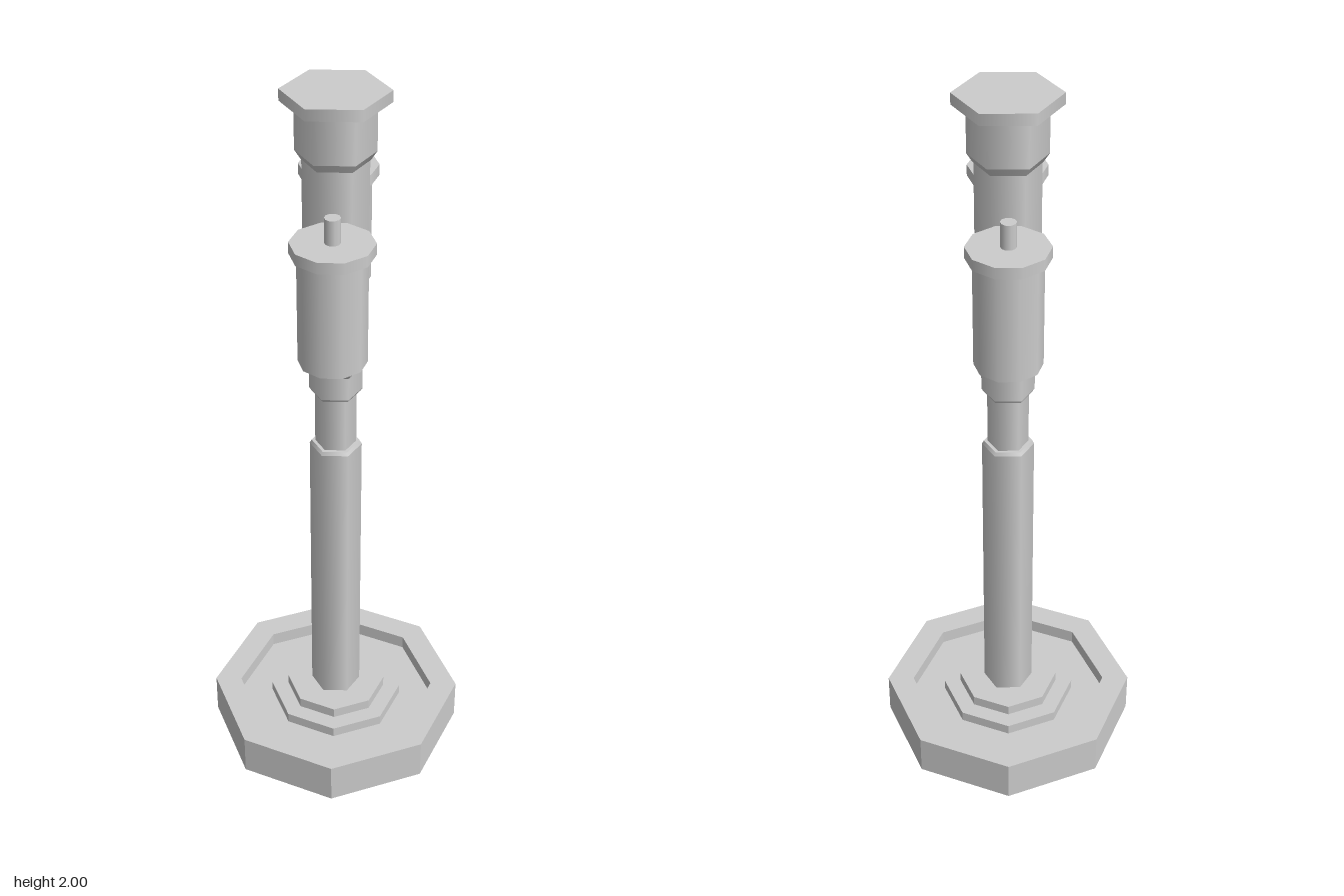
import * as THREE from 'three';

const smooth = new THREE.MeshStandardMaterial({ color: 0xcccccc });
const faceted = new THREE.MeshStandardMaterial({ color: 0xcccccc, flatShading: true, side: THREE.DoubleSide });

// Upright prism from y0 to y1 with corners on the x axis
function prism(name, sides, rBottom, rTop, y0, y1) {
  const geo = new THREE.CylinderGeometry(rTop, rBottom, y1 - y0, sides, 1, false, Math.PI / 2);
  geo.translate(0, (y0 + y1) / 2, 0);
  const mesh = new THREE.Mesh(geo, smooth);
  mesh.name = name;
  return mesh;
}

// Stepped octagonal shell, open underneath
function createBase() {
  const profile = [
    [0.358, 0], [0.358, 0.12], [0.283, 0.12], [0.283, 0.08], [0.19, 0.08],
    [0.19, 0.11], [0.142, 0.11], [0.142, 0.14], [0.05, 0.14],
  ].map(([r, y]) => new THREE.Vector2(r, y));
  const base = new THREE.Mesh(new THREE.LatheGeometry(profile, 8), faceted);
  base.name = 'base';
  return base;
}

// Hexagonal column, bottom to top
function createColumn() {
  const column = new THREE.Group();
  column.name = 'column';
  const parts = [
    ['lowerPole', 0.07, 0.07, 0, 0.99],
    ['lowerPoleBevel', 0.07, 0.065, 0.99, 1],
    ['innerPole', 0.055, 0.055, 0.98, 1.18],
    ['collarBevel', 0.065, 0.07, 1.16, 1.168],
    ['collar', 0.07, 0.07, 1.168, 1.235],
    ['sleeveBevel', 0.07, 0.083, 1.235, 1.25],
    ['sleeve', 0.083, 0.083, 1.25, 1.83],
    ['headBevel', 0.085, 0.1, 1.822, 1.845],
    ['head', 0.1, 0.1, 1.845, 1.97],
    ['topCap', 0.135, 0.135, 1.97, 2],
  ];
  for (const [name, r0, r1, y0, y1] of parts) column.add(prism(name, 6, r0, r1, y0, y1));
  return column;
}

// Canister with lid, knob and two pipes back to the column
function createCanister(side) {
  const canister = new THREE.Group();
  canister.name = side > 0 ? 'frontCanister' : 'backCanister';
  canister.add(
    prism('canisterBody', 10, 0.086, 0.086, 1.385, 1.685),
    prism('canisterLid', 10, 0.104, 0.104, 1.68, 1.71),
    prism('canisterKnob', 10, 0.02, 0.02, 1.7, 1.775),
  );
  for (const y of [1.467, 1.615]) {
    const pipe = new THREE.Mesh(new THREE.CylinderGeometry(0.024, 0.024, 0.1, 10), smooth);
    pipe.name = 'connectorPipe';
    pipe.rotation.x = Math.PI / 2;
    pipe.position.set(0, y, -side * 0.11);
    canister.add(pipe);
  }
  canister.position.z = side * 0.212;
  return canister;
}

export function createModel() {
  const model = new THREE.Group();
  model.name = 'stand';
  model.add(createBase(), createColumn(), createCanister(1), createCanister(-1));
  return model;
}
